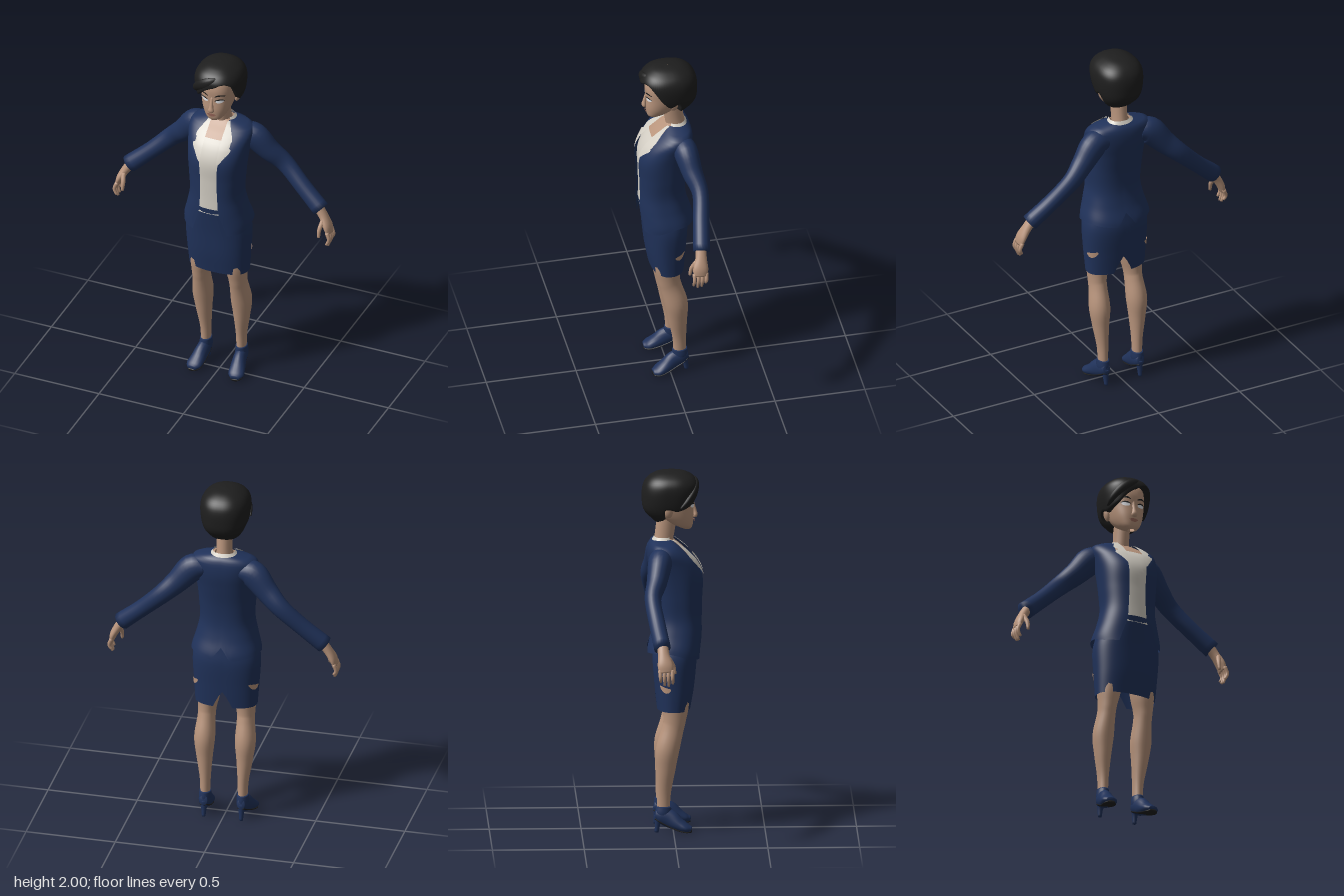
import * as THREE from 'three';

const mat = (name, hex) => {
  const m = new THREE.MeshStandardMaterial({ color: hex, side: THREE.DoubleSide });
  m.name = name;
  return m;
};
const P = 0.85; // roundness of body sections
const rad = d => d * Math.PI / 180;
const pw = (v, e) => Math.sign(v) * Math.pow(Math.abs(v), e);

// Smooth lookup in rows keyed by their first column
function at(rows, t) {
  const n = rows.length - 1;
  t = Math.min(Math.max(t, rows[0][0]), rows[n][0]);
  let i = 0;
  while (i < n - 1 && t > rows[i + 1][0]) i++;
  const slope = (j, k) => {
    const a = rows[Math.max(j - 1, 0)], b = rows[Math.min(j + 1, n)];
    return (b[k] - a[k]) / (b[0] - a[0]);
  };
  const a = rows[i], b = rows[i + 1], h = b[0] - a[0], s = (t - a[0]) / h;
  return a.slice(1).map((v, j) => {
    const k = j + 1, s2 = s * s, s3 = s2 * s;
    return (2 * s3 - 3 * s2 + 1) * v + (s3 - 2 * s2 + s) * h * slope(i, k)
      + (3 * s2 - 2 * s3) * b[k] + (s3 - s2) * h * slope(i + 1, k);
  });
}

// Grid surface from f(u, v); closed joins the u ends
function sheet(f, nu, nv, closed) {
  const pos = [], idx = [], w = closed ? nu : nu + 1;
  for (let j = 0; j <= nv; j++) for (let i = 0; i < w; i++) pos.push(...f(i / nu, j / nv));
  for (let j = 0; j < nv; j++) for (let i = 0; i < nu; i++) {
    const a = j * w + i, b = j * w + (i + 1) % w;
    idx.push(a, b, a + w, b, b + w, a + w);
  }
  const g = new THREE.BufferGeometry();
  g.setAttribute('position', new THREE.Float32BufferAttribute(pos, 3));
  g.setIndex(idx);
  g.computeVertexNormals();
  return g;
}

// Point on a body of rows [y, halfWidth, frontZ, backZ]; angle 0 is the front
function body(rows, y, a, off = 0) {
  const [rx, zf, zb] = at(rows, y);
  return [(rx + off) * pw(Math.sin(a), P), y, (zf + zb) / 2 + ((zf - zb) / 2 + off) * pw(Math.cos(a), P)];
}
// Front point on a body at a given x
function frontAt(rows, x, y, off = 0) {
  const s = Math.min(Math.abs(x) / (at(rows, y)[0] + off), 1);
  return body(rows, y, Math.sign(x) * Math.asin(Math.pow(s, 1 / P)), off);
}
const loft = (rows, y0, y1, off = 0, nv = 24) =>
  sheet((u, v) => body(rows, y0 + (y1 - y0) * v, u * 2 * Math.PI, off), 48, nv, true);

// Capped limb through [x, y, z, halfWidth, halfDepth] stations
function limb(pts, nu = 20, steps = 5, ref = new THREE.Vector3(0, 0, 1)) {
  const rows = pts.map((p, i) => [i, ...p]), m = pts.length - 1, nv = m * steps + 2;
  return sheet((u, v) => {
    const k = Math.round(v * nv), t = Math.min(Math.max((k - 1) / steps, 0), m);
    const [x, y, z, a, b] = at(rows, t), c = new THREE.Vector3(x, y, z);
    const p = s => new THREE.Vector3(...at(rows, s).slice(0, 3));
    const T = p(t + 0.05).sub(p(t - 0.05)).normalize();
    const N = ref.clone().cross(T).normalize(), B = T.clone().cross(N);
    const e = k === 0 || k === nv ? 0 : 1, q = u * 2 * Math.PI;
    return c.addScaledVector(N, e * a * Math.cos(q)).addScaledVector(B, e * b * Math.sin(q)).toArray();
  }, nu, nv, true);
}

// Oval patch lying on a surface, optionally bent and tilted
function decal(surf, cx, cy, w, h, bend = 0, tilt = 0) {
  return sheet((u, v) => {
    const q = u * 2 * Math.PI, r = 1 - v, a = r * Math.cos(q);
    return surf(cx + w * a, cy + h * r * Math.sin(q) + bend * a * a + tilt * a);
  }, 24, 5, true);
}

const HEAD = [[1.672, .018, .095, .06], [1.685, .042, .105, .03], [1.71, .062, .11, -.02], [1.75, .08, .114, -.07],
  [1.81, .094, .112, -.11], [1.88, .098, .115, -.12], [1.94, .085, .09, -.1], [1.975, .03, .03, -.05]];
const HAIR = [[1.72, .085, .08, -.1], [1.78, .116, .112, -.158], [1.85, .132, .132, -.17], [1.92, .133, .14, -.163],
  [1.96, .112, .118, -.138], [1.985, .074, .08, -.1], [1.996, .04, .04, -.06], [2, .001, -.01, -.012]];
const HAIRLINE = [[0, 1.9], [25, 1.93], [50, 1.91], [72, 1.82], [85, 1.785], [97, 1.81], [112, 1.74], [180, 1.72],
  [250, 1.74], [265, 1.8], [285, 1.79], [320, 1.82], [340, 1.86], [360, 1.9]];
const TORSO = [[.95, .19, .155, -.14], [1.01, .192, .155, -.142], [1.1, .168, .16, -.115], [1.19, .15, .16, -.1],
  [1.3, .155, .162, -.105], [1.42, .165, .164, -.125], [1.5, .175, .13, -.138], [1.56, .183, .075, -.138],
  [1.595, .165, .032, -.13], [1.61, .12, .015, -.12], [1.62, .065, .005, -.105]];
const SKIRT = [[.68, .172, .095, -.09], [.8, .18, .115, -.1], [.95, .187, .13, -.11], [1.03, .172, .14, -.1], [1.125, .135, .153, -.085]];
const OPENING = [[.95, .105], [1, .09], [1.12, .056], [1.44, .056], [1.5, .095], [1.54, .1], [1.6, .07], [1.62, .05]];
const HEM = [[0, .965], [40, .975], [90, 1.01], [180, .99]];
const LAPEL = [[1.43, .058], [1.47, .085], [1.51, .112], [1.525, .09], [1.55, .106], [1.6, .076], [1.62, .06]];

export function createModel() {
  const navy = mat('navy cloth', 0x20325a), skin = mat('skin', 0xb8947c), cream = mat('cream blouse', 0xd2cdc3);
  const black = mat('black hair', 0x1e1e1e), white = mat('eye white', 0xe4e6ea), lip = mat('lips', 0x9c6a5c);
  const model = new THREE.Group();
  const add = (name, geo, m, parent = model) => {
    const mesh = new THREE.Mesh(geo, m);
    mesh.name = name;
    parent.add(mesh);
    return mesh;
  };

  // Head and neck
  const face = off => (x, y) => frontAt(HEAD, x, y, off);
  add('head', loft(HEAD, 1.672, 1.975), skin);
  add('neck', limb([[0, 1.55, -.065, .055, .055], [0, 1.62, -.05, .043, .052], [0, 1.76, -.03, .044, .055]]), skin);
  add('nose', limb([[0, 1.83, .107, .008, .006], [0, 1.775, .118, .011, .011], [0, 1.75, .122, .017, .013], [0, 1.738, .114, .012, .008]], 14), skin);
  add('upperLip', decal(face(.005), 0, 1.722, .026, .005, -.002), lip);
  add('lowerLip', decal(face(.006), 0, 1.713, .02, .006, .003), lip);

  // Hair swept from a part on the left, with its rim turned in
  add('hair', sheet((u, v) => {
    const a = u * 2 * Math.PI, low = at(HAIRLINE, u * 360)[0], k = Math.max(0, (v * 26 - 1) / 25);
    const y = low + (2 - low) * Math.sin(k * Math.PI / 2);
    return body(HAIR, y, a, v === 0 ? -.045 : 0);
  }, 72, 26, true), black);
  add('fringe', limb([[.06, 1.95, .085, .012, .008], [.0, 1.935, .122, .026, .016], [-.06, 1.9, .118, .03, .018],
    [-.105, 1.85, .08, .022, .016], [-.125, 1.81, .04, .006, .006]], 16), black);

  // Inner body, blouse and collar
  add('chest', loft(TORSO, 1.53, 1.62, -.014), skin);
  add('blouse', loft(TORSO, 1.09, 1.54, -.011), cream);
  add('collar', sheet((u, v) => body([[1.6, .088, .004, -.122], [1.632, .06, -.004, -.102]], 1.6 + .032 * v, rad(50 + 260 * u)), 40, 4), cream);

  // Open jacket with a vented back hem
  add('jacket', sheet((u, v) => {
    const deg = u * 360, d = Math.abs(deg - 180);
    const low = at(HEM, 180 - d)[0] + .075 * Math.max(0, 1 - d / 14);
    const y = low + (1.62 - low) * v;
    const gap = Math.asin(Math.pow(at(OPENING, y)[0] / at(TORSO, y)[0], 1 / P));
    return body(TORSO, y, gap + u * 2 * (Math.PI - gap));
  }, 72, 40), navy);

  // Skirt with a back slit and torn patches
  add('skirt', sheet((u, v) => {
    const low = .68 + .1 * Math.max(0, 1 - Math.abs(u * 360 - 180) / 15);
    return body(SKIRT, low + (1.125 - low) * v, u * 2 * Math.PI);
  }, 72, 20, true), navy);
  for (const s of [-1, 1]) {
    add('skirtTear', decal((a, y) => body(SKIRT, y, a, .004), Math.PI - s * rad(64), .805, .3, .016, .012, s * .008), skin);
  }

  // Paired parts, built on the left and mirrored
  for (const s of [1, -1]) {
    const side = new THREE.Group();
    side.name = s > 0 ? 'leftSide' : 'rightSide';
    side.scale.x = s;
    model.add(side);
    const put = (name, geo, m) => add(name, geo, m, side);

    put('eye', decal(face(.003), .044, 1.81, .022, .011, 0, .003), white);
    put('eyelashes', decal(face(.005), .045, 1.822, .026, .004, -.007, .003), black);
    put('eyebrow', decal(face(.004), .046, 1.85, .028, .005, -.008, .004), black);
    put('ear', new THREE.SphereGeometry(1, 16, 12).scale(.014, .036, .022).rotateZ(-.25).translate(.097, 1.785, -.025), skin);

    put('lapel', sheet((u, v) => {
      const y = 1.43 + .19 * v, x = .048 + (at(LAPEL, y)[0] - .048) * u;
      return frontAt(TORSO, x, y, .007);
    }, 8, 30), cream);

    put('sleeve', limb([[.1, 1.53, -.065, .05, .06], [.17, 1.515, -.075, .076, .066], [.25, 1.43, -.095, .064, .056],
      [.335, 1.35, -.12, .053, .045], [.45, 1.24, -.1, .047, .045], [.568, 1.135, -.076, .05, .046]], 24), navy);

    // Hand
    put('palm', limb([[.55, 1.15, -.075, .028, .03], [.585, 1.1, -.07, .024, .032], [.613, 1.05, -.062, .021, .042],
      [.626, 1.01, -.058, .014, .038]]), skin);
    [.95, .935, .94, .96].forEach((tip, i) => {
      const z = -.026 - .022 * i;
      put('finger', limb([[.622, 1.025, z, .011, .011], [.636, .985, z + .003, .01, .01], [.622, tip, z + .005, .007, .007]], 10, 4), skin);
    });
    put('thumb', limb([[.592, 1.085, -.045, .014, .014], [.582, 1.04, -.018, .012, .012], [.582, .995, -.008, .008, .008]], 10, 4), skin);

    put('leg', limb([[.09, 1, 0, .075, .08], [.1, .75, .012, .068, .076], [.108, .63, .006, .051, .062], [.11, .57, -.006, .049, .06],
      [.114, .46, -.033, .057, .064], [.112, .35, -.042, .045, .052], [.106, .22, -.052, .03, .038], [.105, .1, -.055, .026, .034]], 24), skin);

    // Heeled shoe
    const up = new THREE.Vector3(0, 1, 0);
    const shoe = [[.105, .1, -.1, .02, .028], [.106, .095, -.07, .032, .044], [.11, .075, -.02, .036, .05],
      [.118, .045, .03, .042, .036], [.125, .027, .07, .043, .024], [.128, .02, .098, .024, .014]];
    put('shoe', limb(shoe, 20, 5, up), navy);
    put('shoeCollar', limb([[.105, .145, -.055, .031, .041], [.106, .11, -.055, .034, .045], [.107, .075, -.055, .03, .04]]), navy);
    put('sole', limb(shoe.map(([x, y, z, a, b]) => [x, y - b * .8, z, a * .85, .007]), 16, 5, up), black);
    put('heel', limb([[.105, .09, -.078, .026, .026], [.105, .05, -.086, .016, .016], [.105, 0, -.092, .01, .011]], 14), navy);
  }
  return model;
}
